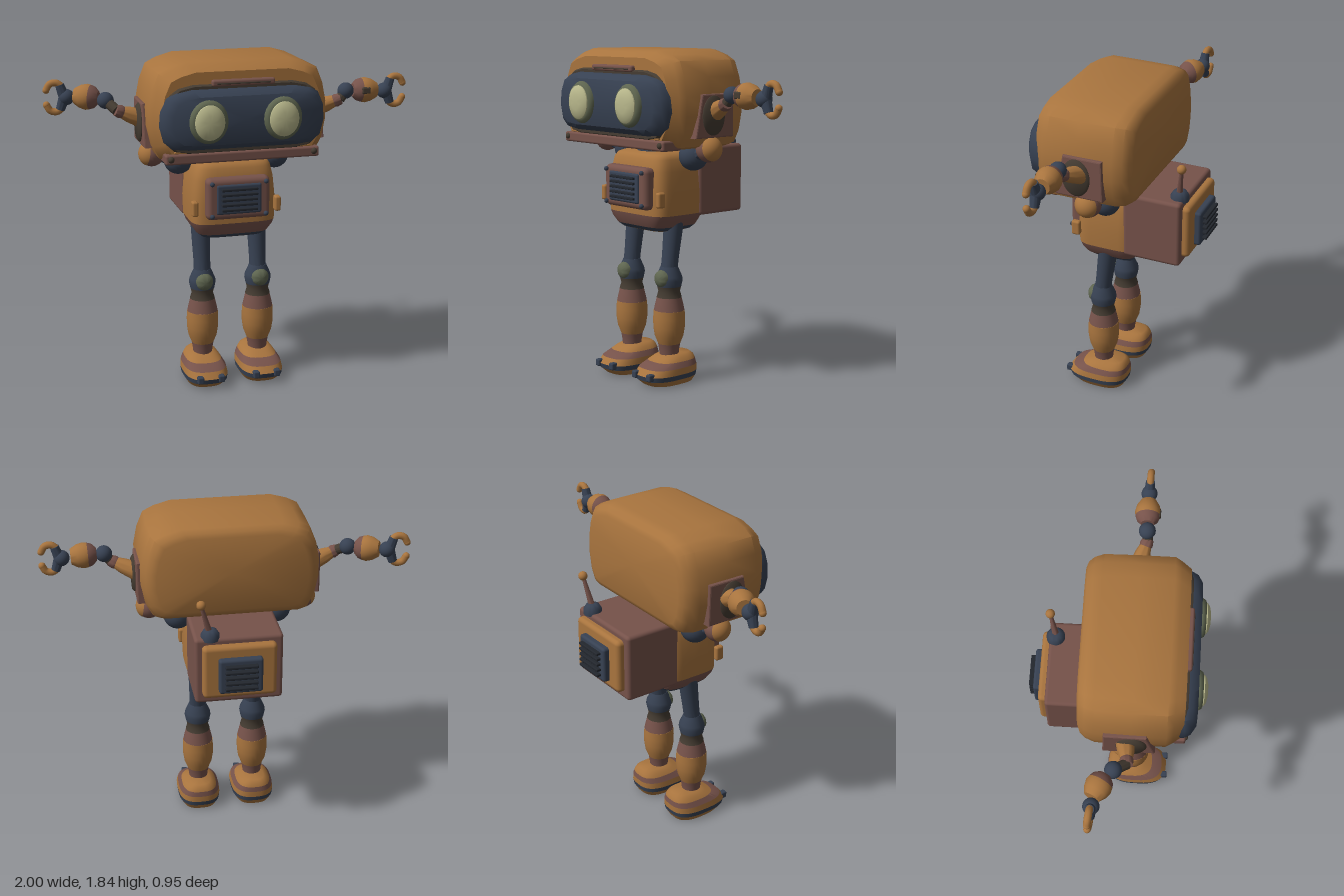
import * as THREE from 'three';
import { toCreasedNormals } from 'three/addons/utils/BufferGeometryUtils.js';
import { RoundedBoxGeometry } from 'three/addons/geometries/RoundedBoxGeometry.js';

const mat = (name, color) => Object.assign(new THREE.MeshStandardMaterial({ color }), { name });
const V = (x, y, z) => new THREE.Vector3(x, y, z);
const UP = V(0, 1, 0);

export function createModel() {
  const orange = mat('orange paint', 0xa8743e), brown = mat('brown paint', 0x76524a);
  const navy = mat('navy metal', 0x374152), dark = mat('dark bronze', 0x453c32);
  const olive = mat('olive metal', 0x5f6650), cream = mat('cream lens', 0xb9b88c);
  const black = mat('black vent', 0x23272e);

  const root = new THREE.Group();
  root.name = 'robot';
  const body = new THREE.Group();
  body.name = 'body';
  body.position.x = -0.013;
  root.add(body);

  const add = (parent, name, geo, material, x = 0, y = 0, z = 0) => {
    const m = new THREE.Mesh(geo, material);
    m.name = name;
    m.position.set(x, y, z);
    parent.add(m);
    return m;
  };
  const group = (parent, name) => {
    const g = new THREE.Group();
    g.name = name;
    parent.add(g);
    return g;
  };
  // Box centred on a point
  const box = (p, name, m, w, h, d, x, y, z, r = 0.012) =>
    add(p, name, new RoundedBoxGeometry(w, h, d, 2, r), m, x, y, z);
  const ball = (p, name, m, r, c) => add(p, name, new THREE.SphereGeometry(r, 24, 16), m, c.x, c.y, c.z);
  // Turned part from a to b; profile is [radius, fraction along axis]
  const turned = (p, name, m, a, b, profile) => {
    const dir = b.clone().sub(a), len = dir.length();
    const pts = profile.map(([r, t]) => new THREE.Vector2(r, t * len));
    pts.unshift(new THREE.Vector2(0, pts[0].y));
    pts.push(new THREE.Vector2(0, pts[pts.length - 1].y));
    const mesh = add(p, name, toCreasedNormals(new THREE.LatheGeometry(pts, 28), 0.7), m, a.x, a.y, a.z);
    mesh.quaternion.setFromUnitVectors(UP, dir.normalize());
    return mesh;
  };
  // Closed skin over equal-length rings, with flat ends
  const skin = (rings, crease = 0.75) => {
    const pos = [], n = rings[0].length;
    const tri = (...vs) => vs.forEach(v => pos.push(v.x, v.y, v.z));
    const mid = r => r.reduce((s, v) => s.add(v), V(0, 0, 0)).divideScalar(n);
    const first = rings[0], last = rings[rings.length - 1], c0 = mid(first), c1 = mid(last);
    for (let j = 0; j < n; j++) {
      const k = (j + 1) % n;
      for (let i = 0; i < rings.length - 1; i++) {
        tri(rings[i][j], rings[i][k], rings[i + 1][k]);
        tri(rings[i][j], rings[i + 1][k], rings[i + 1][j]);
      }
      tri(c0, first[k], first[j]);
      tri(c1, last[j], last[k]);
    }
    const g = new THREE.BufferGeometry();
    g.setAttribute('position', new THREE.Float32BufferAttribute(pos, 3));
    g.computeVertexNormals();
    return toCreasedNormals(g, crease);
  };
  // Rounded horizontal ring from [y, half width, back z, front z]
  const ring = ([y, hw, zb, zf], power) => Array.from({ length: 40 }, (_, i) => {
    const a = i / 40 * Math.PI * 2, c = Math.cos(a), s = Math.sin(a), e = 2 / power;
    return V(Math.sign(c) * Math.abs(c) ** e * hw, y,
      (zb + zf) / 2 - Math.sign(s) * Math.abs(s) ** e * (zf - zb) / 2);
  });
  const bands = (p, power, rows, list) => list.forEach(([name, m, from, to]) =>
    add(p, name, skin(rows.slice(from, to + 1).map(r => ring(r, power))), m));
  // Mirrored outline swept along z; each row is [z, x scale, y scale]
  const shell = (half, cy, rows) => {
    const outline = [...half, ...half.map(([x, y]) => [-x, y]).reverse()];
    return skin(rows.map(([z, sx, sy]) => outline.map(([x, y]) => V(x * sx, cy + (y - cy) * sy, z))));
  };

  // Head shell
  const head = group(body, 'head');
  const headHalf = [[0.38, 1.32], [0.43, 1.335], [0.465, 1.4], [0.485, 1.5], [0.485, 1.6],
    [0.465, 1.7], [0.43, 1.785], [0.37, 1.815], [0.28, 1.84]];
  add(head, 'headShell', shell(headHalf, 1.58, [[-0.18, 0.84, 0.8], [-0.168, 0.9, 0.9], [-0.14, 0.95, 0.97],
    [-0.09, 0.99, 1], [0.1, 1, 1], [0.275, 1, 1], [0.31, 0.96, 0.95], [0.36, 0.89, 0.84]]), orange);

  // Visor and its bezel
  const visorHalf = [[0.3, 1.39], [0.38, 1.4], [0.425, 1.44], [0.445, 1.52], [0.44, 1.6],
    [0.41, 1.67], [0.36, 1.7], [0.28, 1.715]];
  add(head, 'visorBezel', shell(visorHalf, 1.55, [[0.3, 0.98, 1.12], [0.36, 0.96, 1.12], [0.375, 0.93, 1.07]]), dark);
  add(head, 'visor', shell(visorHalf, 1.55, [[0.3, 1, 1], [0.365, 1, 1], [0.4, 0.96, 0.93], [0.425, 0.87, 0.78]]), navy);
  box(head, 'browHandle', brown, 0.34, 0.035, 0.04, 0, 1.74, 0.365);
  box(head, 'browSlot', dark, 0.29, 0.008, 0.008, 0, 1.738, 0.384, 0.002);
  box(head, 'chinBar', brown, 0.84, 0.055, 0.13, 0, 1.347, 0.315);
  box(head, 'chinTrim', orange, 0.74, 0.012, 0.05, 0, 1.382, 0.345, 0.004);

  for (const s of [-1, 1]) {
    // Eyes
    const eye = group(head, s > 0 ? 'leftEye' : 'rightEye');
    const a = V(s * 0.2, 1.55, 0.4), b = V(s * 0.2, 1.55, 0.475);
    turned(eye, 'eyeRing', olive, a, b, [[0.115, 0], [0.115, 0.4], [0.104, 0.62], [0.09, 0.68]]).scale.x = 0.9;
    turned(eye, 'eyeLens', cream, a, b, [[0.095, 0.55], [0.092, 0.75], [0.075, 0.9], [0.04, 1]]).scale.x = 0.86;
    ball(eye, 'eyeGlint', olive, 0.014, V(s * 0.2 - 0.015, 1.605, 0.462)).scale.set(1.3, 0.6, 0.6);
    for (const y of [1.41, 1.69]) box(head, 'visorClip', olive, 0.11, 0.012, 0.02, s * 0.2, y, 0.385, 0.004);
    ball(head, 'chinBolt', dark, 0.018, V(s * 0.39, 1.35, 0.375));

    // Side pads that carry the arms
    const pad = new THREE.Shape([[-0.215, 1.39], [0.04, 1.39], [0.035, 1.605], [-0.17, 1.605]]
      .map(([x, y]) => new THREE.Vector2(x, y)));
    const padGeo = new THREE.ExtrudeGeometry(pad, { depth: 0.06, bevelSize: 0.008, bevelThickness: 0.008, bevelSegments: 2 });
    add(head, 'sidePad', padGeo.rotateY(Math.PI / 2), brown, s > 0 ? 0.432 : -0.492);
    turned(head, 'sideDisc', dark, V(s * 0.46, 1.5, 0.1), V(s * 0.515, 1.5, 0.1),
      [[0.105, 0], [0.105, 0.8], [0.09, 1]]).scale.z = 0.75;

    // Shoulder joints
    const shoulder = group(body, s > 0 ? 'leftShoulder' : 'rightShoulder');
    const inner = V(s * 0.275, 1.265, 0.035), outer = V(s * 0.428, 1.315, 0.065);
    ball(shoulder, 'shoulderBall', navy, 0.08, inner);
    turned(shoulder, 'shoulderAxle', navy, V(s * 0.18, 1.22, 0.03), outer, [[0.035, 0], [0.03, 1]]);
    ball(shoulder, 'shoulderCap', brown, 0.07, outer);
    const cap = add(shoulder, 'shoulderCover', new THREE.SphereGeometry(0.073, 24, 10, 0, Math.PI * 2, 0, 1.15),
      orange, outer.x, outer.y, outer.z);
    cap.quaternion.setFromUnitVectors(UP, V(s * 0.95, 0.15, 0.1).normalize());
    cap.material = orange;
  }

  // Neck
  turned(body, 'neck', navy, V(0, 1.24, 0.07), V(0, 1.35, 0.07), [[0.1, 0], [0.1, 0.4], [0.08, 0.5], [0.08, 1]]);
  box(body, 'collar', brown, 0.38, 0.03, 0.2, 0, 1.315, 0.06);

  // Torso in stacked colour bands
  const torso = group(body, 'torso');
  bands(torso, 5, [[0.845, 0.16, -0.05, 0.18], [0.85, 0.175, -0.07, 0.195], [0.872, 0.2, -0.09, 0.22],
    [0.91, 0.225, -0.105, 0.24], [0.94, 0.236, -0.11, 0.248], [1.05, 0.24, -0.11, 0.25],
    [1.18, 0.228, -0.11, 0.242], [1.245, 0.213, -0.105, 0.23], [1.268, 0.2, -0.095, 0.215], [1.28, 0.17, -0.07, 0.19]],
  [['pelvisPlate', orange, 0, 1], ['pelvisBand', navy, 1, 2], ['waist', brown, 2, 4], ['chest', orange, 4, 9]]);

  // Chest grille
  box(torso, 'chestFrame', brown, 0.355, 0.232, 0.08, 0, 1.09, 0.255, 0.03);
  box(torso, 'chestVent', navy, 0.25, 0.165, 0.03, 0, 1.09, 0.29);
  for (let i = 0; i < 5; i++) box(torso, 'chestSlat', black, 0.2, 0.014, 0.03, 0, 1.034 + i * 0.028, 0.306, 0.004);
  for (const s of [-1, 1]) {
    box(torso, 'hipPad', orange, 0.035, 0.085, 0.05, s * 0.232, 1.035, 0.235);
    for (const y of [1.0, 1.18]) ball(torso, 'chestBolt', navy, 0.013, V(s * 0.15, y, 0.3));
  }

  // Backpack, vent and antenna
  const pack = group(body, 'backpack');
  box(pack, 'packBody', brown, 0.476, 0.382, 0.33, 0, 1.115, -0.21, 0.02);
  box(pack, 'packPlate', orange, 0.4, 0.305, 0.07, 0, 1.12, -0.38, 0.025);
  box(pack, 'packVent', navy, 0.236, 0.2, 0.05, 0, 1.11, -0.425, 0.015);
  for (let i = 0; i < 5; i++) box(pack, 'packSlat', black, 0.175, 0.016, 0.04, 0, 1.046 + i * 0.032, -0.455, 0.005);
  turned(pack, 'antennaBase', navy, V(0.15, 1.29, -0.34), V(0.15, 1.35, -0.34), [[0.05, 0], [0.05, 0.5], [0.035, 0.9], [0.02, 1]]);
  turned(pack, 'antennaRod', brown, V(0.155, 1.33, -0.34), V(0.2, 1.5, -0.365), [[0.018, 0], [0.009, 1]]);
  ball(pack, 'antennaTip', orange, 0.025, V(0.2, 1.5, -0.365));

  // Legs
  for (const s of [-1, 1]) {
    const leg = group(body, s > 0 ? 'leftLeg' : 'rightLeg'), x = s * 0.161;
    turned(leg, 'thigh', navy, V(x, 0.62, 0.112), V(x, 0.9, 0.075), [[0.046, 0], [0.047, 0.3], [0.055, 1]]);
    const base = V(x, 0, 0.11), top = V(x, 1, 0.11);
    turned(leg, 'knee', navy, base, top, [[0.068, 0.54], [0.075, 0.575], [0.072, 0.595], [0.048, 0.65]]);
    turned(leg, 'kneeCuff', dark, base, top, [[0.07, 0.478], [0.06, 0.51], [0.068, 0.545]]);
    turned(leg, 'shinCuff', brown, base, top, [[0.086, 0.4], [0.08, 0.43], [0.068, 0.48]]);
    turned(leg, 'shin', orange, base, top, [[0.062, 0.215], [0.08, 0.26], [0.088, 0.31], [0.089, 0.36], [0.086, 0.405]]);
    turned(leg, 'ankle', brown, base, top, [[0.052, 0.14], [0.056, 0.18], [0.063, 0.22]]);
    turned(leg, 'kneecap', olive, V(x, 0.585, 0.13), V(x, 0.585, 0.195), [[0.05, 0], [0.05, 0.5], [0.042, 0.8], [0.022, 1]]);

    // Foot in stacked colour bands
    const foot = group(leg, 'foot');
    foot.position.x = x;
    bands(foot, 2.8, [[0, 0.1, -0.02, 0.265], [0.033, 0.12, -0.04, 0.305], [0.06, 0.123, -0.045, 0.312],
      [0.095, 0.118, -0.045, 0.285], [0.125, 0.1, -0.04, 0.225], [0.145, 0.085, -0.032, 0.185], [0.16, 0.062, -0.015, 0.15]],
    [['sole', orange, 0, 1], ['soleBand', navy, 1, 2], ['footSide', orange, 2, 3], ['footStripe', brown, 3, 4], ['footTop', orange, 4, 6]]);
    for (const t of [-1, 1]) box(foot, 'toeLug', navy, 0.035, 0.04, 0.04, t * 0.06, 0.06, 0.3, 0.008);
  }

  // Arms, posed separately: cuff start, cuff end, elbow, forearm centre, wrist, claw tip
  const arm = (name, s, [start, end, elbow, fore, wrist, tip]) => {
    const g = group(root, name);
    turned(g, 'upperArm', orange, start, end, [[0.05, 0], [0.042, 0.5], [0.032, 0.78]]);
    turned(g, 'upperArmCuff', brown, start, end, [[0.032, 0.75], [0.036, 0.85], [0.03, 1.05]]);
    ball(g, 'elbow', navy, 0.045, elbow);
    turned(g, 'elbowLink', dark, end, elbow, [[0.028, 0], [0.028, 1]]);
    const far = fore.clone().lerp(wrist, 0.62), near = fore.clone().lerp(elbow, 0.6);
    turned(g, 'forearmCuff', brown, near, far, [[0.035, 0], [0.058, 0.16], [0.066, 0.34]]);
    turned(g, 'forearm', orange, near, far, [[0.066, 0.34], [0.07, 0.5], [0.062, 0.75], [0.042, 1]]);
    box(g, 'forearmVent', dark, 0.05, 0.04, 0.03, fore.x, fore.y, fore.z + 0.058, 0.01);
    ball(g, 'wrist', navy, 0.043, wrist);
    const out = tip.clone().sub(wrist), at = (t, dy) => wrist.clone().addScaledVector(out, t).add(V(0, dy, 0));
    for (const v of [-1, 1]) {
      // Curled finger with a navy knuckle
      turned(g, 'knuckle', navy, at(0.1, 0), at(0.3, v * 0.068), [[0.03, 0], [0.024, 1]]);
      const path = new THREE.CatmullRomCurve3([at(0.2, v * 0.058), at(0.45, v * 0.078), at(0.75, v * 0.072), at(0.93, v * 0.04)]);
      add(g, 'finger', new THREE.TubeGeometry(path, 12, 0.019, 10), orange);
      ball(g, 'fingerTip', orange, 0.019, at(0.93, v * 0.04));
    }
  };
  arm('leftArm', 1, [V(0.48, 1.52, 0.08), V(0.61, 1.57, 0.125), V(0.645, 1.615, 0.12), V(0.745, 1.62, 0.115),
    V(0.872, 1.605, 0.12), V(0.987, 1.605, 0.125)]);
  arm('rightArm', -1, [V(-0.5, 1.515, 0.07), V(-0.63, 1.565, 0.085), V(-0.678, 1.61, 0.02), V(-0.757, 1.632, -0.075),
    V(-0.872, 1.62, -0.077), V(-0.987, 1.62, -0.09)]);

  return root;
}
